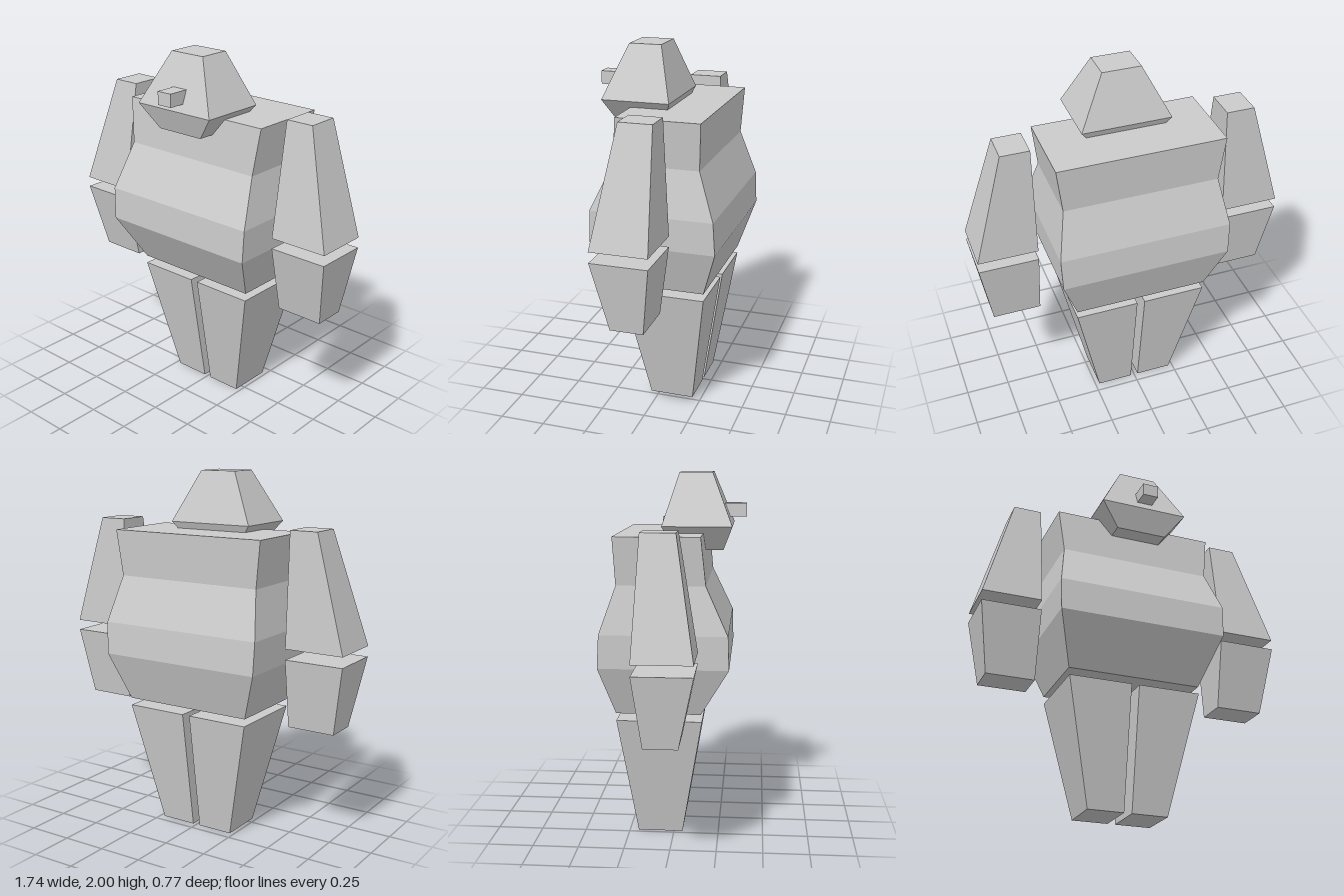
import * as THREE from 'three';

const material = new THREE.MeshStandardMaterial({ color: 0xcccccc, flatShading: true });

// Stacks rectangular sections [y, x0, x1, z0, z1], bottom to top, into a closed block.
function loft(name, sections) {
  const pos = [];
  const rings = sections.map(([y, x0, x1, z0, z1]) => [
    [x0, y, z1], [x1, y, z1], [x1, y, z0], [x0, y, z0],
  ]);
  const quad = (a, b, c, d) => pos.push(...a, ...b, ...c, ...a, ...c, ...d);
  for (let i = 0; i < rings.length - 1; i++) {
    const lo = rings[i], hi = rings[i + 1];
    for (let k = 0; k < 4; k++) {
      const n = (k + 1) % 4;
      quad(lo[k], lo[n], hi[n], hi[k]);
    }
  }
  const [a, b, c, d] = rings[0];
  quad(d, c, b, a);
  quad(...rings[rings.length - 1]);
  const geo = new THREE.BufferGeometry();
  geo.setAttribute('position', new THREE.Float32BufferAttribute(pos, 3));
  geo.computeVertexNormals();
  const mesh = new THREE.Mesh(geo, material);
  mesh.name = name;
  return mesh;
}

// Mirrors sections to the other side of x = 0.
const mirror = (sections) => sections.map(([y, x0, x1, z0, z1]) => [y, -x1, -x0, z0, z1]);

export function createModel() {
  const model = new THREE.Group();
  model.name = 'blockyFigure';

  // Torso: bulging belly, pinched chest, flat shoulders
  model.add(loft('torso', [
    [0.725, -0.38, 0.376, -0.3, 0.157],
    [0.99, -0.477, 0.472, -0.385, 0.308],
    [1.17, -0.482, 0.478, -0.375, 0.302],
    [1.425, -0.434, 0.428, -0.287, 0.183],
    [1.68, -0.464, 0.46, -0.3, 0.157],
  ]));

  // Head: tapered jaw below a wide rim, pyramid crown
  model.add(loft('head', [
    [1.585, -0.146, 0.144, -0.012, 0.262],
    [1.717, -0.252, 0.249, -0.065, 0.312],
    [2.0, -0.109, 0.107, 0.022, 0.2],
  ]));

  // Snout
  model.add(loft('nose', [
    [1.76, -0.037, 0.053, 0.255, 0.385],
    [1.832, -0.037, 0.053, 0.255, 0.385],
  ]));

  // Limbs, mirrored in pairs
  const limbs = {
    UpperArm: [[1.1, 0.54, 0.872, -0.16, 0.15], [1.72, 0.54, 0.698, -0.13, 0.05]],
    Forearm: [[0.66, 0.54, 0.808, -0.11, 0.07], [1.042, 0.54, 0.872, -0.16, 0.15]],
    Leg: [[0, 0.022, 0.226, -0.2, 0.048], [0.683, 0.022, 0.377, -0.3, 0.163]],
  };
  for (const [part, sections] of Object.entries(limbs)) {
    model.add(loft('left' + part, sections));
    model.add(loft('right' + part, mirror(sections)));
  }
  return model;
}
